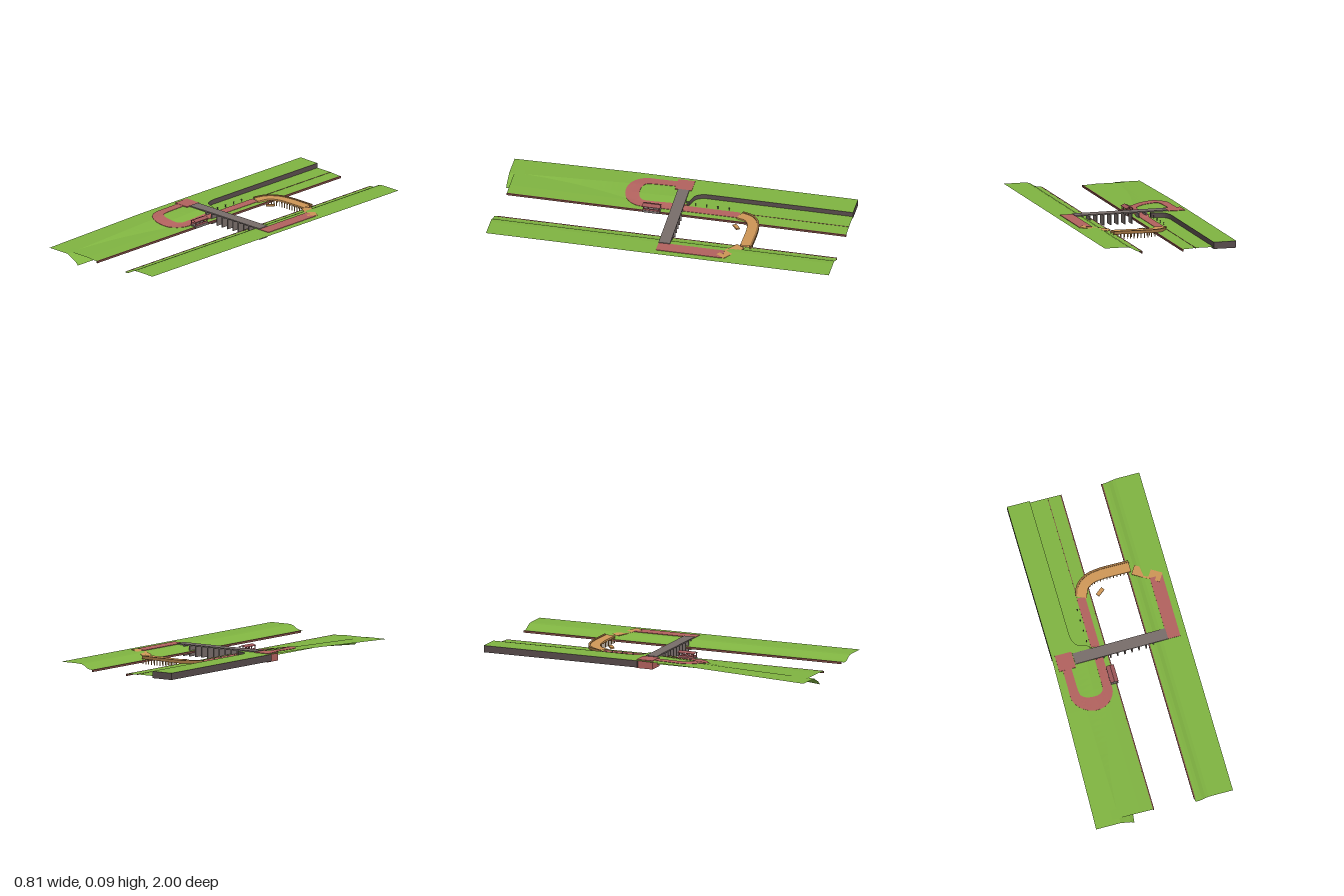
import * as THREE from 'three';

const mat = (color) => new THREE.MeshStandardMaterial({ color, flatShading: true, side: THREE.DoubleSide });
const GRASS = mat(0x80b441), PATH = mat(0xb2625e), WOOD = mat(0xcf9757), WOOD_DARK = mat(0x9c7040);
const STONE = mat(0x786d6a), WALL = mat(0x574b4b), CURB = mat(0x7d4a42), BRICK = mat(0xa0585a);
const V = (x, y, z) => new THREE.Vector3(x, y, z);

// Surface through rows of points
function grid(rows) {
  const pos = rows.flat().flatMap((p) => [p.x, p.y, p.z]);
  const n = rows[0].length, idx = [];
  for (let i = 0; i < rows.length - 1; i++) {
    for (let j = 0; j < n - 1; j++) {
      const a = i * n + j, b = a + n;
      idx.push(a, b, a + 1, b, b + 1, a + 1);
    }
  }
  const g = new THREE.BufferGeometry();
  g.setAttribute('position', new THREE.Float32BufferAttribute(pos, 3));
  g.setIndex(idx);
  g.computeVertexNormals();
  return g;
}

// Terrain cross-sections (x, y) of the sloping hill, by z
const hill = [
  { z: -0.06, p: [[-0.375, 0.081], [-0.27, 0.081], [-0.19, 0.08], [-0.14, 0.066], [-0.09, 0.05]] },
  { z: 0.3, p: [[-0.384, 0.075], [-0.27, 0.074], [-0.2, 0.063], [-0.155, 0.054], [-0.105, 0.042]] },
  { z: 1, p: [[-0.405, 0.05], [-0.26, 0.05], [-0.22, 0.03], [-0.2, 0.02], [-0.18, 0]] },
];
const terrace = [[-0.3, 0.053], [-0.135, 0.053], [-0.085, 0.05], [-0.055, 0.049]];

function profileAt(p, x) {
  if (x < p[0][0] || x > p[p.length - 1][0]) return -1;
  const i = Math.max(1, p.findIndex((q) => q[0] >= x));
  const [a, b] = [p[i - 1], p[i]];
  return a[1] + ((x - a[0]) / (b[0] - a[0])) * (b[1] - a[1]);
}
function hillSection(z) {
  const i = z < 0.3 ? 0 : 1, a = hill[i], b = hill[i + 1];
  const t = (z - a.z) / (b.z - a.z);
  return a.p.map((q, k) => [q[0] + (b.p[k][0] - q[0]) * t, q[1] + (b.p[k][1] - q[1]) * t]);
}
function groundHeight(x, z) {
  const h = z >= -0.06 ? profileAt(hillSection(z), x) : -1;
  return Math.max(h, profileAt(terrace, x));
}
const loftProfile = (p, z0, z1) => grid([z0, z1].map((z) => p.map((q) => V(q[0], q[1], z))));

// Strip of a given width and thickness along a curve
function ribbon(curve, n, width, thick, height) {
  const rows = [];
  for (let i = 0; i <= n; i++) {
    const c = curve.getPointAt(i / n), t = curve.getTangentAt(i / n);
    const side = V(-t.z, 0, t.x).normalize(), w = width(i / n), top = [];
    for (let k = -2; k <= 2; k++) {
      const p = c.clone().addScaledVector(side, (k / 4) * w);
      if (height) p.y = height(p.x, p.z);
      top.push(p);
    }
    const under = top.map((p) => V(p.x, p.y - thick, p.z)).reverse();
    rows.push([...top, ...under, top[0].clone()]);
  }
  return grid(rows);
}

export function createModel() {
  const root = new THREE.Group();
  const add = (name, geo, m, parent = root) => {
    const mesh = new THREE.Mesh(geo, m);
    mesh.name = name;
    parent.add(mesh);
    return mesh;
  };
  // Box from its limits
  const box = (name, x0, x1, y0, y1, z0, z1, m, parent) => {
    const b = add(name, new THREE.BoxGeometry(x1 - x0, y1 - y0, z1 - z0), m, parent);
    b.position.set((x0 + x1) / 2, (y0 + y1) / 2, (z0 + z1) / 2);
    return b;
  };
  const group = (name) => {
    const g = new THREE.Group();
    g.name = name;
    root.add(g);
    return g;
  };

  // Left-hand riverbank in the top view: hill, lower terrace, curb
  const rows = [];
  for (let i = 0; i <= 30; i++) {
    const z = -0.06 + (1.06 * i) / 30;
    rows.push(hillSection(z).map((q) => V(q[0], q[1], z)));
  }
  add('hillside', grid(rows), GRASS);
  add('lowerTerraceFront', loftProfile(terrace, -0.06, 0.97), GRASS);
  add('lowerTerraceBack', loftProfile([[-0.24, 0.053], ...terrace.slice(1)], -1, -0.06), GRASS);
  box('westCurb', -0.062, -0.055, 0.038, 0.0495, -1, 0.97, CURB);
  box('terraceEdging', -0.137, -0.134, 0.05, 0.0545, -1, -0.38, CURB);

  // Raised terrace with its retaining wall
  const plan = new THREE.Shape();
  plan.moveTo(-0.375, 1);
  plan.lineTo(-0.242, 1);
  plan.lineTo(-0.242, 0.17);
  plan.quadraticCurveTo(-0.24, 0.09, -0.19, 0.08);
  plan.lineTo(-0.15, 0.068);
  plan.lineTo(-0.15, 0.05);
  plan.lineTo(-0.375, 0.05);
  const slab = add('retainingWall', new THREE.ExtrudeGeometry(plan, { depth: 0.039, bevelEnabled: false }), WALL);
  slab.rotation.x = -Math.PI / 2;
  slab.position.y = 0.041;
  const lawn = add('raisedLawn', new THREE.ShapeGeometry(plan), GRASS);
  lawn.rotation.x = -Math.PI / 2;
  lawn.position.y = 0.081;

  // Opposite riverbank
  const bank = [[0.182, 0.051], [0.205, 0.052], [0.222, 0.058], [0.242, 0.071], [0.26, 0.078], [0.285, 0.08], [0.403, 0.08]];
  add('eastBank', loftProfile(bank, -1, 0.99), GRASS);
  box('eastCurb', 0.179, 0.187, 0.04, 0.0515, -1, 0.97, CURB);

  // Footbridge of stone with plate piers
  const bridge = group('stoneBridge');
  box('bridgeDeck', -0.255, 0.293, 0.08, 0.0865, -0.05, 0.016, STONE, bridge);
  for (let i = 0; i < 11; i++) {
    const x = -0.128 + i * 0.0418;
    box('bridgePier', x - 0.0035, x + 0.0035, 0.018, 0.081, -0.048, 0.014, STONE, bridge);
  }
  bridge.rotation.y = 0.012;

  // Red paths and landing
  box('landing', -0.355, -0.258, 0.033, 0.0835, -0.06, 0.038, PATH);
  const loop = new THREE.CurvePath();
  loop.add(new THREE.LineCurve3(V(-0.115, 0, -0.37), V(-0.115, 0, 0.19)));
  const bend = [];
  for (let i = 0; i <= 10; i++) {
    const a = (i / 10) * Math.PI;
    bend.push(V(-0.212 + 0.097 * Math.cos(a), 0, 0.19 + 0.082 * Math.sin(a)));
  }
  loop.add(new THREE.CatmullRomCurve3(bend));
  loop.add(new THREE.LineCurve3(V(-0.309, 0, 0.19), V(-0.309, 0, 0.03)));
  add('loopPath', ribbon(loop, 60, (t) => 0.05 + 0.032 * Math.exp(-(((t - 0.7) / 0.1) ** 2)), 0.002,
    (x, z) => groundHeight(x, z) + 0.0035), PATH);
  box('eastPath', 0.29, 0.365, 0.08, 0.083, -0.37, 0.012, PATH);

  // Curved timber walkway on posts
  const walk = group('timberWalkway');
  const line = new THREE.CatmullRomCurve3([
    V(0.2, 0.071, -0.472), V(0.12, 0.07, -0.473), V(0.04, 0.069, -0.473), V(-0.035, 0.066, -0.462),
    V(-0.085, 0.063, -0.43), V(-0.112, 0.059, -0.37)]);
  add('walkwayDeck', ribbon(line, 28, () => 0.062, 0.009), WOOD, walk);
  const railLine = new THREE.CatmullRomCurve3(line.getSpacedPoints(14).map((p, i) => {
    const t = line.getTangentAt(i / 14);
    return p.add(V(-t.z, 0, t.x).normalize().multiplyScalar(0.031).setY(0.004));
  }));
  // Keep the rail on the outer side of the bend
  const outer = new THREE.CatmullRomCurve3(railLine.points.map((p, i) => {
    const c = line.getPointAt(i / 14);
    return p.z < c.z ? p : V(2 * c.x - p.x, p.y, 2 * c.z - p.z);
  }));
  add('walkwayRail', ribbon(outer, 28, () => 0.012, 0.018), WOOD_DARK, walk);
  for (let i = 0; i <= 18; i++) {
    const c = line.getPointAt(i / 18), t = line.getTangentAt(i / 18);
    for (const s of [-0.026, 0.026]) {
      const x = c.x - t.z * s, z = c.z + t.x * s;
      box('walkwayPost', x - 0.002, x + 0.002, 0.026, c.y - 0.004, z - 0.002, z + 0.002, WOOD, walk);
    }
  }
  add('timberRamp', ribbon(new THREE.LineCurve3(V(0.212, 0.073, -0.447), V(0.353, 0.085, -0.357)), 1, () => 0.058, 0.004), WOOD);

  // Small moored raft
  const raft = add('raft', new THREE.BoxGeometry(0.05, 0.008, 0.022), WOOD);
  raft.position.set(0, 0.052, -0.375);
  raft.rotation.set(0, 0.65, 0.06);

  // Waterside pavilion with gabled roof
  const pavilion = group('pavilion');
  box('pavilionBase', -0.092, -0.047, 0.042, 0.056, 0.08, 0.18, STONE, pavilion);
  for (const x of [-0.088, -0.051]) {
    for (let i = 0; i < 4; i++) {
      const z = 0.085 + i * 0.03;
      box('pavilionPost', x - 0.002, x + 0.002, 0.056, 0.081, z - 0.002, z + 0.002, BRICK, pavilion);
    }
    box('pavilionRail', x - 0.002, x + 0.002, 0.056, 0.066, 0.083, 0.177, BRICK, pavilion);
  }
  const gable = [[-0.093, 0.079], [-0.0695, 0.088], [-0.046, 0.079], [-0.046, 0.081], [-0.0695, 0.0905], [-0.093, 0.081]];
  const roof = new THREE.Shape(gable.map((q) => new THREE.Vector2(q[0], q[1])));
  add('pavilionRoof', new THREE.ExtrudeGeometry(roof, { depth: 0.104, bevelEnabled: false }), BRICK, pavilion).position.z = 0.078;

  // Lamp posts beside the path
  for (let i = 0; i < 4; i++) {
    const z = -0.3 + i * 0.065;
    box('lampPost', -0.157, -0.154, 0.052, 0.068, z - 0.0015, z + 0.0015, WALL);
    box('lampHead', -0.159, -0.152, 0.067, 0.069, z - 0.004, z + 0.004, WALL);
  }
  return root;
}
